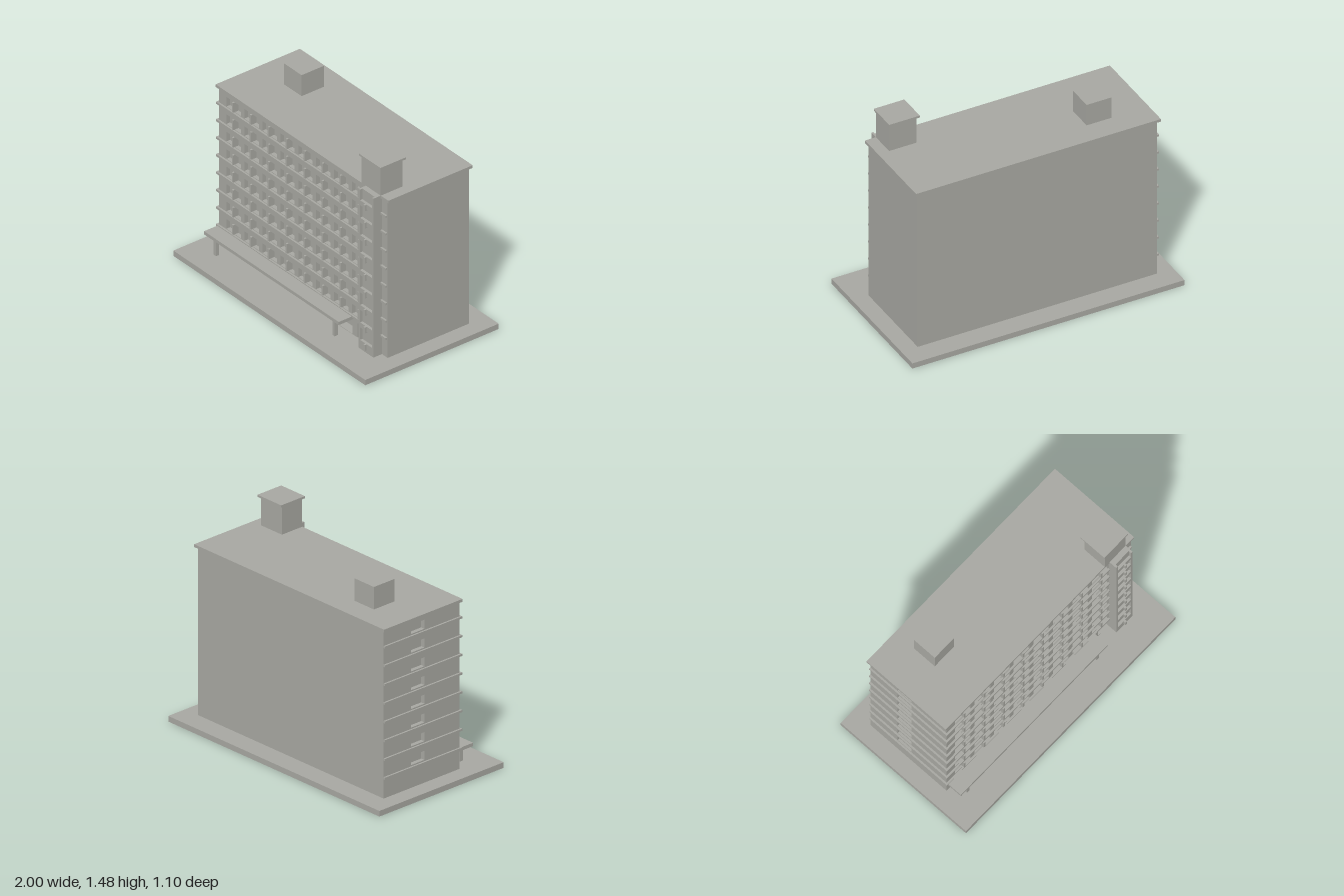
import * as THREE from 'three';

export function createModel() {
  const model = new THREE.Group();
  model.name = 'apartmentBlock';
  const concrete = new THREE.MeshStandardMaterial({ color: 0xa8a8a2 });
  concrete.name = 'concrete';

  const add = (name, geometry) => {
    const mesh = new THREE.Mesh(geometry, concrete);
    mesh.name = name;
    model.add(mesh);
    return mesh;
  };
  // Box given by its limits on each axis
  const box = (name, x0, x1, y0, y1, z0, z1) => {
    const g = new THREE.BoxGeometry(x1 - x0, y1 - y0, z1 - z0);
    g.translate((x0 + x1) / 2, (y0 + y1) / 2, (z0 + z1) / 2);
    return add(name, g);
  };
  // Wall panel with rectangular openings, each [x0, x1, y0, y1]
  const rectPoints = ([x0, x1, y0, y1]) => [
    new THREE.Vector2(x0, y0), new THREE.Vector2(x1, y0),
    new THREE.Vector2(x1, y1), new THREE.Vector2(x0, y1),
  ];
  const panel = (outline, openings, depth) => {
    const shape = new THREE.Shape(rectPoints(outline));
    openings.forEach((o) => shape.holes.push(new THREE.Path(rectPoints(o))));
    return new THREE.ExtrudeGeometry(shape, { depth, bevelEnabled: false });
  };

  const floors = 8, storey = 0.1335, bays = 8, pitch = 0.187;
  const baseTop = 0.04, split = 0.18, wallTop = 1.235;

  // Plinth and solid core
  box('plinth', -1, 1, 0, baseTop, -0.55, 0.55);
  box('core', -0.85, 0.88, baseTop, wallTop, -0.4, 0.21);
  box('upperCore', -0.85, 0.88, split, wallTop, 0.21, 0.24);

  // Front wall: paired windows with a fin between them
  const windows = [];
  for (let f = 0; f < floors; f++) {
    const y = 0.197 + f * storey;
    for (let b = 0; b < bays; b++) {
      const x = -0.8 + b * pitch;
      windows.push([x, x + 0.073, y, y + 0.073], [x + 0.087, x + 0.15, y, y + 0.073]);
      box('windowFin', x + 0.073, x + 0.087, y, y + 0.073, 0.24, 0.284);
    }
  }
  add('frontWall', panel([-0.85, 0.88, split, wallTop], windows, 0.03)).position.z = 0.24;

  // Ground floor: deep openings between piers
  const bayOpenings = [];
  for (let i = 0; i < 7; i++) {
    const x = -0.8 + i * 0.2275;
    bayOpenings.push([x, Math.min(x + 0.175, 0.665), 0.043, 0.15]);
  }
  add('groundFloorWall', panel([-0.85, 0.88, baseTop, split], bayOpenings, 0.06)).position.z = 0.21;

  // Left-hand end wall with one window per floor
  const endWindows = [];
  for (let f = 0; f < floors; f++) {
    const y = 0.202 + f * storey;
    endWindows.push([-0.16, -0.04, y, y + 0.065]);
  }
  const endWall = add('endWall', panel([-0.4, 0.27, baseTop, wallTop], endWindows, 0.03));
  endWall.rotation.y = -Math.PI / 2;
  endWall.position.x = -0.85;

  // Floor bands wrapping the front and the windowed end
  for (let f = 0; f < floors; f++) {
    const y = 0.178 + f * storey;
    box('frontBand', -0.893, 0.875, y, y + 0.015, 0.265, 0.284);
    box('endBand', -0.893, -0.875, y, y + 0.015, -0.4, 0.265);
  }

  // Stair tower with shallow recesses and short fins
  const tx0 = 0.665, tx1 = 0.82, towerTop = 1.255;
  box('towerCore', tx0, tx1, baseTop, towerTop, 0.27, 0.32);
  box('towerJamb', tx0, 0.68, baseTop, towerTop, 0.32, 0.34);
  box('towerJamb', 0.806, tx1, baseTop, towerTop, 0.32, 0.34);
  for (let i = 0; i < 9; i++) {
    const top = 0.107 + i * storey;
    box('towerSpandrel', 0.68, 0.806, i ? top - 0.038 : baseTop, top, 0.32, 0.34);
    box('towerFin', 0.735, 0.75, top - 0.045, top, 0.335, 0.356);
  }

  // Roof slab and rooftop rooms
  box('roofSlab', -0.9, 0.9, wallTop, 1.255, -0.415, 0.28);
  box('stairPenthouse', 0.62, 0.82, 1.255, 1.46, 0.1, 0.28);
  box('penthouseCap', 0.605, 0.83, 1.46, 1.475, 0.08, 0.29);
  box('liftRoom', -0.627, -0.443, 1.255, 1.415, -0.25, -0.067);

  // Entrance canopy on two posts
  box('canopy', -0.878, 0.525, 0.163, 0.187, 0.27, 0.393);
  for (const x of [-0.8, 0.437]) box('canopyPost', x, x + 0.025, baseTop, 0.163, 0.35, 0.376);

  return model;
}
